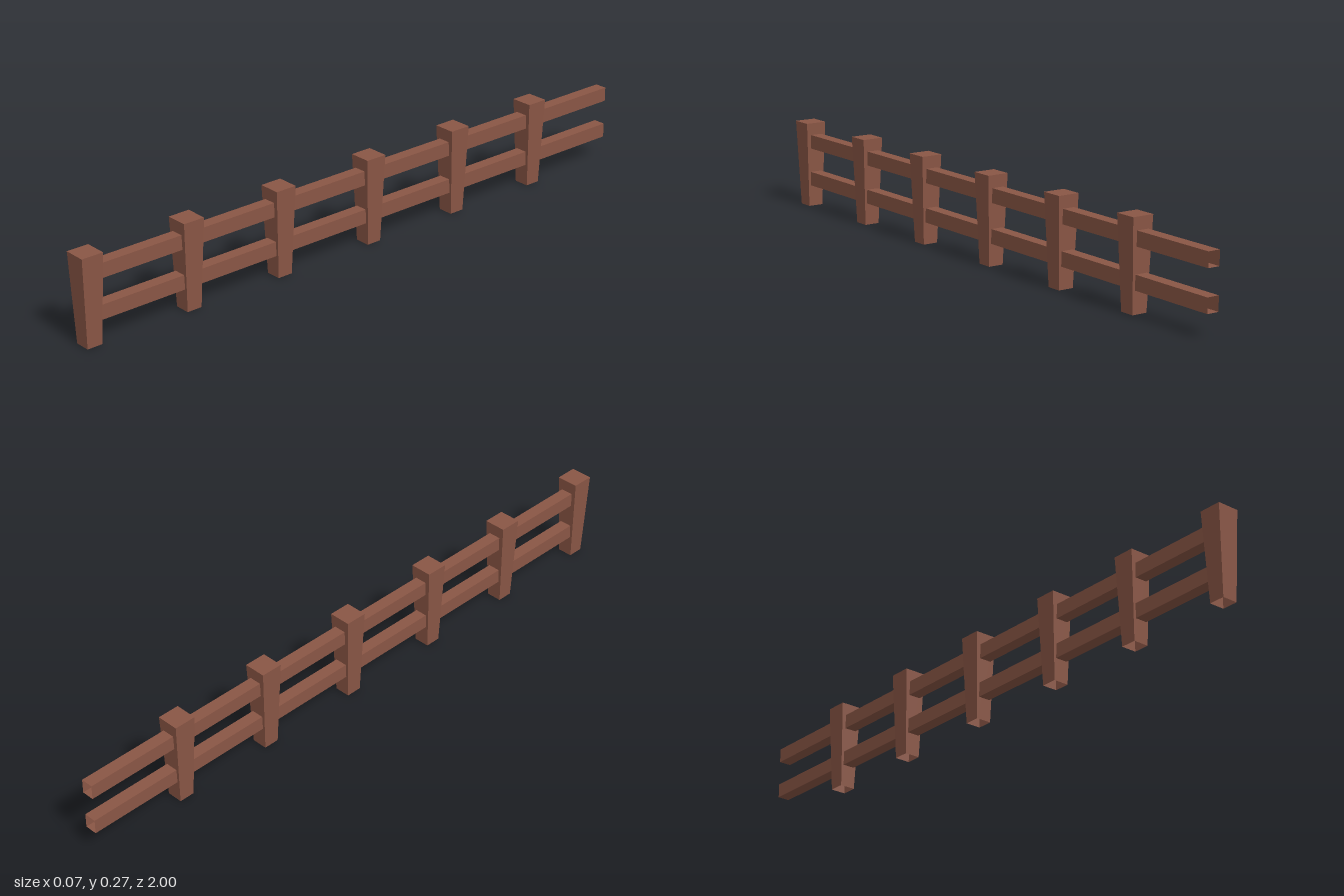
import * as THREE from 'three';

const wood = new THREE.MeshStandardMaterial({
  color: 0x8a5645, flatShading: true, side: THREE.DoubleSide,
});

// Box with some faces left out (0 +x, 1 -x, 2 +y, 3 -y, 4 +z, 5 -z)
function openBox(w, h, d, openFaces) {
  const g = new THREE.BoxGeometry(w, h, d);
  const index = Array.from(g.index.array);
  g.setIndex(index.filter((_, i) => !openFaces.includes(Math.floor(i / 6))));
  g.clearGroups();
  return g;
}

// Post that narrows toward its open foot
function postGeometry() {
  const height = 0.271, top = 0.068, foot = 0.048;
  const g = openBox(top, height, top, [3]);
  g.translate(0, height / 2, 0);
  const p = g.attributes.position;
  for (let i = 0; i < p.count; i++) {
    if (p.getY(i) < height / 2) {
      p.setX(i, p.getX(i) * foot / top);
      p.setZ(i, p.getZ(i) * foot / top);
    }
  }
  g.computeVertexNormals();
  return g;
}

export function createModel() {
  const fence = new THREE.Group();
  fence.name = 'fence';

  // Six posts, nearly evenly spaced
  const post = postGeometry();
  [0.966, 0.632, 0.309, -0.027, -0.359, -0.681].forEach((z, i) => {
    const mesh = new THREE.Mesh(post, wood);
    mesh.name = `post${i + 1}`;
    mesh.position.z = z;
    fence.add(mesh);
  });

  // Two hollow rails from the front post to past the last one
  const front = 0.966, back = -1;
  const rail = openBox(0.038, 0.044, front - back, [4, 5]);
  [['lowerRail', 0.09], ['upperRail', 0.211]].forEach(([name, y]) => {
    const mesh = new THREE.Mesh(rail, wood);
    mesh.name = name;
    mesh.position.set(0, y, (front + back) / 2);
    fence.add(mesh);
  });

  return fence;
}
